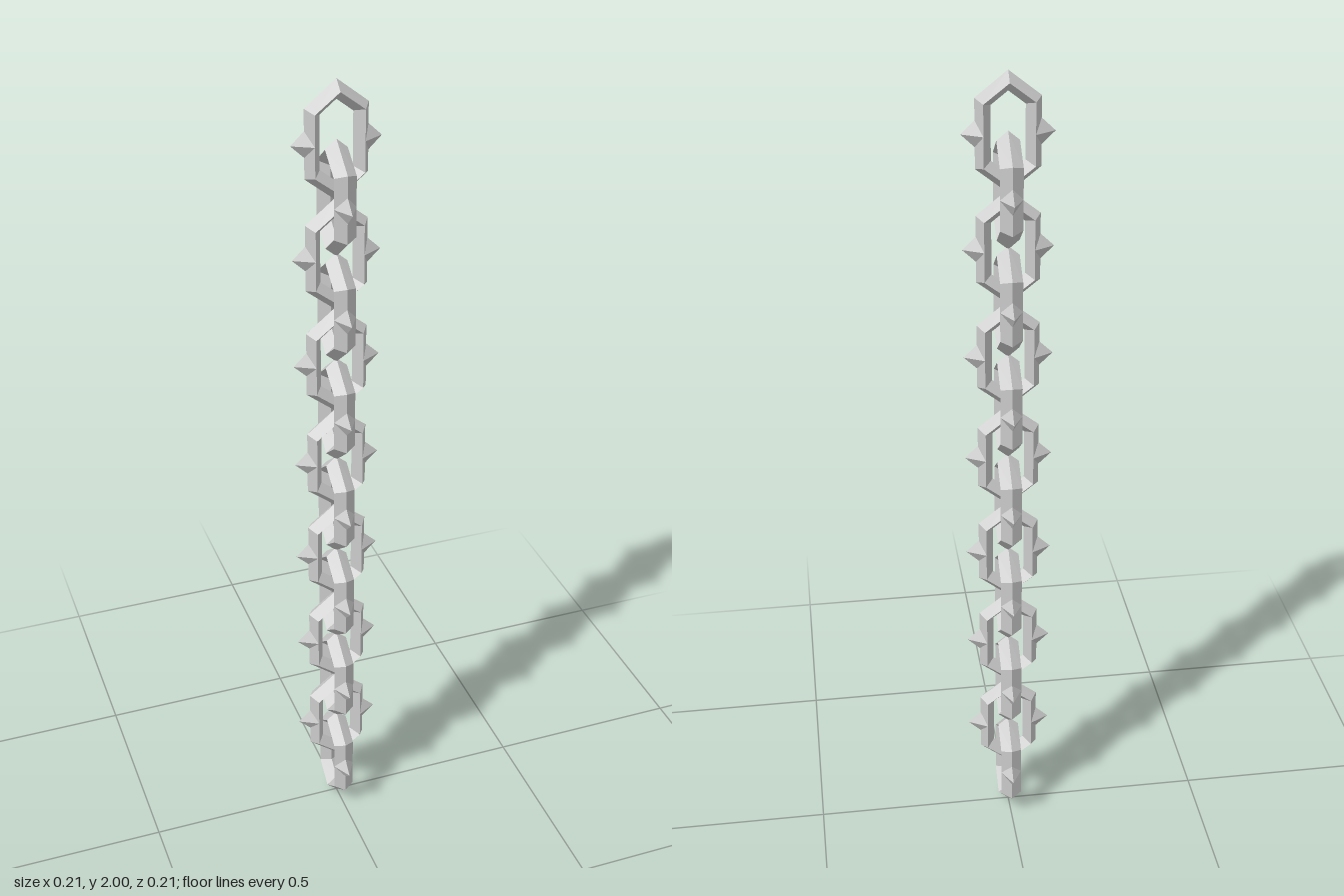
import * as THREE from 'three';

const LINKS = 14;
const HALF_HEIGHT = 0.137;
const SPACING = (2 - 2 * HALF_HEIGHT) / (LINKS - 1);

// Stretched hexagon in the xy plane, counter-clockwise
function hexagon(halfWidth, shoulder, peak, z) {
  return [
    [halfWidth, -shoulder, z], [halfWidth, shoulder, z], [0, peak, z],
    [-halfWidth, shoulder, z], [-halfWidth, -shoulder, z], [0, -peak, z],
  ];
}

// Hexagonal ring with a diamond cross-section
function linkGeometry() {
  const loops = [
    hexagon(0.073, 0.079, HALF_HEIGHT, 0),
    hexagon(0.057, 0.071, 0.115, 0.026),
    hexagon(0.038, 0.062, 0.092, 0),
    hexagon(0.057, 0.071, 0.115, -0.026),
  ];
  const positions = [];
  for (let k = 0; k < 4; k++) {
    for (let i = 0; i < 6; i++) {
      const next = loops[(k + 1) % 4], j = (i + 1) % 6;
      const a = loops[k][i], b = loops[k][j], c = next[j], d = next[i];
      positions.push(...a, ...b, ...c, ...a, ...c, ...d);
    }
  }
  const geometry = new THREE.BufferGeometry();
  geometry.setAttribute('position', new THREE.Float32BufferAttribute(positions, 3));
  geometry.computeVertexNormals();
  return geometry;
}

// Four-sided spike pointing along +x
function spikeGeometry() {
  return new THREE.ConeGeometry(1, 0.047, 4)
    .rotateZ(-Math.PI / 2)
    .scale(1, 0.045, 0.026)
    .translate(0.057 + 0.047 / 2, 0, 0);
}

export function createModel() {
  const chain = new THREE.Group();
  chain.name = 'spikedChain';
  const material = new THREE.MeshStandardMaterial({ color: 0xcccccc, flatShading: true });
  const ring = linkGeometry();
  const spike = spikeGeometry();

  // Links from top to bottom, each turned a quarter from the last
  for (let n = 0; n < LINKS; n++) {
    const link = new THREE.Group();
    link.name = `link${n + 1}`;
    link.position.y = 2 - HALF_HEIGHT - n * SPACING;
    link.rotation.y = (n % 2) * Math.PI / 2;

    const ringMesh = new THREE.Mesh(ring, material);
    ringMesh.name = 'ring';
    link.add(ringMesh);

    // A spike on each long side
    for (const [name, angle] of [['leftSpike', 0], ['rightSpike', Math.PI]]) {
      const mesh = new THREE.Mesh(spike, material);
      mesh.name = name;
      mesh.rotation.y = angle;
      link.add(mesh);
    }
    chain.add(link);
  }
  return chain;
}
